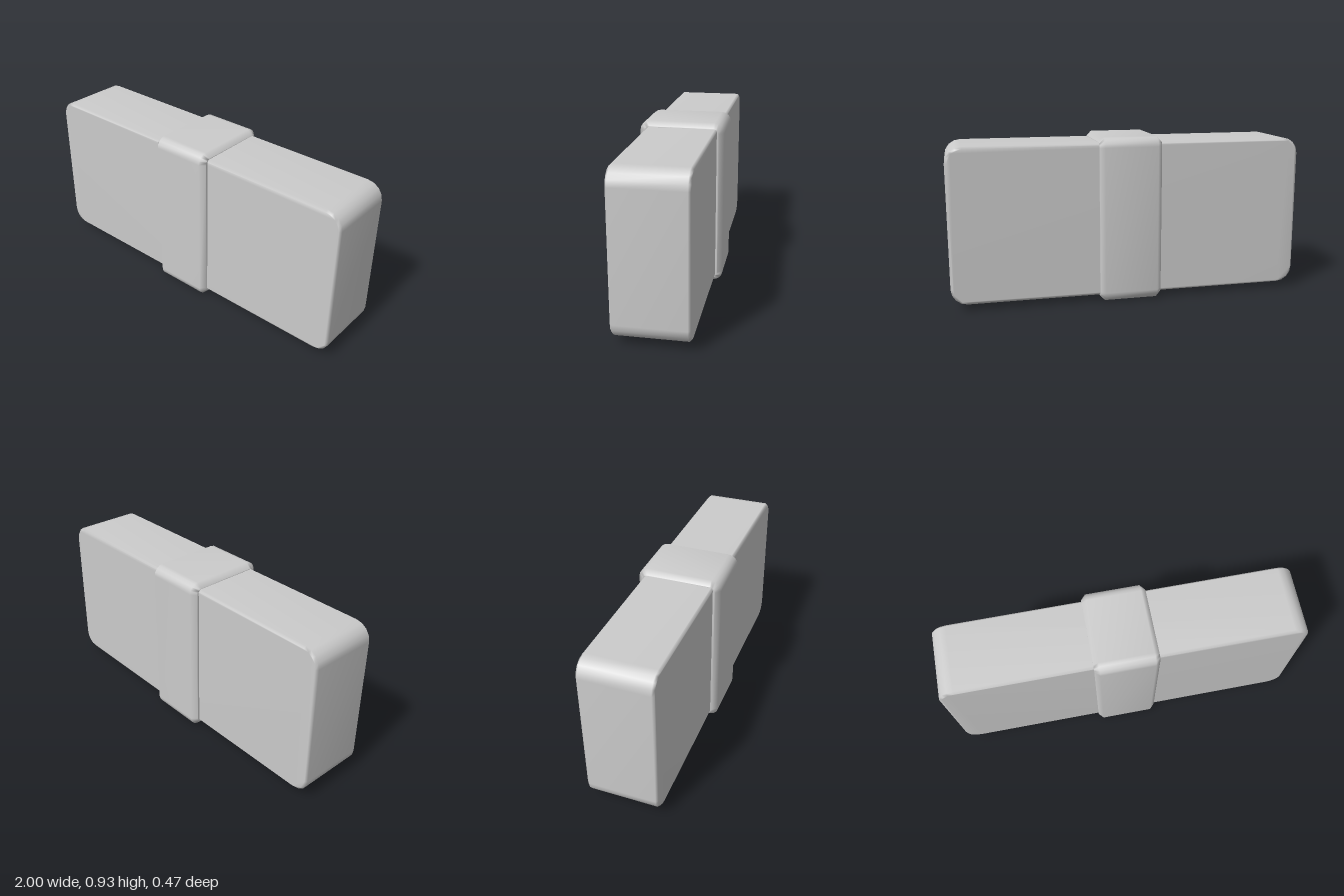
import * as THREE from 'three';
import { mergeVertices } from 'three/addons/utils/BufferGeometryUtils.js';

// Rounded rectangle extruded along z, with two-step corners and a chamfered rim
function roundedSlab(width, height, depth, radius, chamfer) {
  const x = width / 2 - radius, y = height / 2 - radius;
  const shape = new THREE.Shape();
  [[x, y], [-x, y], [-x, -y], [x, -y]].forEach(([cx, cy], i) => {
    shape.absarc(cx, cy, radius, i * Math.PI / 2, (i + 1) * Math.PI / 2, false);
  });
  let geometry = new THREE.ExtrudeGeometry(shape, {
    depth: depth - 2 * chamfer,
    curveSegments: 2,
    bevelSegments: 1,
    bevelThickness: chamfer,
    bevelSize: chamfer,
    bevelOffset: -chamfer,
  });
  geometry.translate(0, 0, chamfer - depth / 2);
  // Area-weighted smooth normals: broad faces stay flat, chamfers blend
  geometry.deleteAttribute('uv');
  geometry.deleteAttribute('normal');
  geometry = mergeVertices(geometry, 1e-4);
  geometry.computeVertexNormals();
  return geometry;
}

export function createModel() {
  const group = new THREE.Group();
  group.name = 'bandedBlock';
  const material = new THREE.MeshStandardMaterial({ color: 0xcccccc });

  // Long block
  const body = new THREE.Mesh(roundedSlab(2, 0.865, 0.392, 0.09, 0.012), material);
  body.name = 'body';
  body.position.y = 0.467;

  // Strap wrapped around the middle
  const band = new THREE.Mesh(roundedSlab(0.47, 0.93, 0.352, 0.055, 0.027), material);
  band.name = 'centreBand';
  band.geometry.rotateY(Math.PI / 2);
  band.position.y = 0.465;

  group.add(body, band);
  return group;
}
